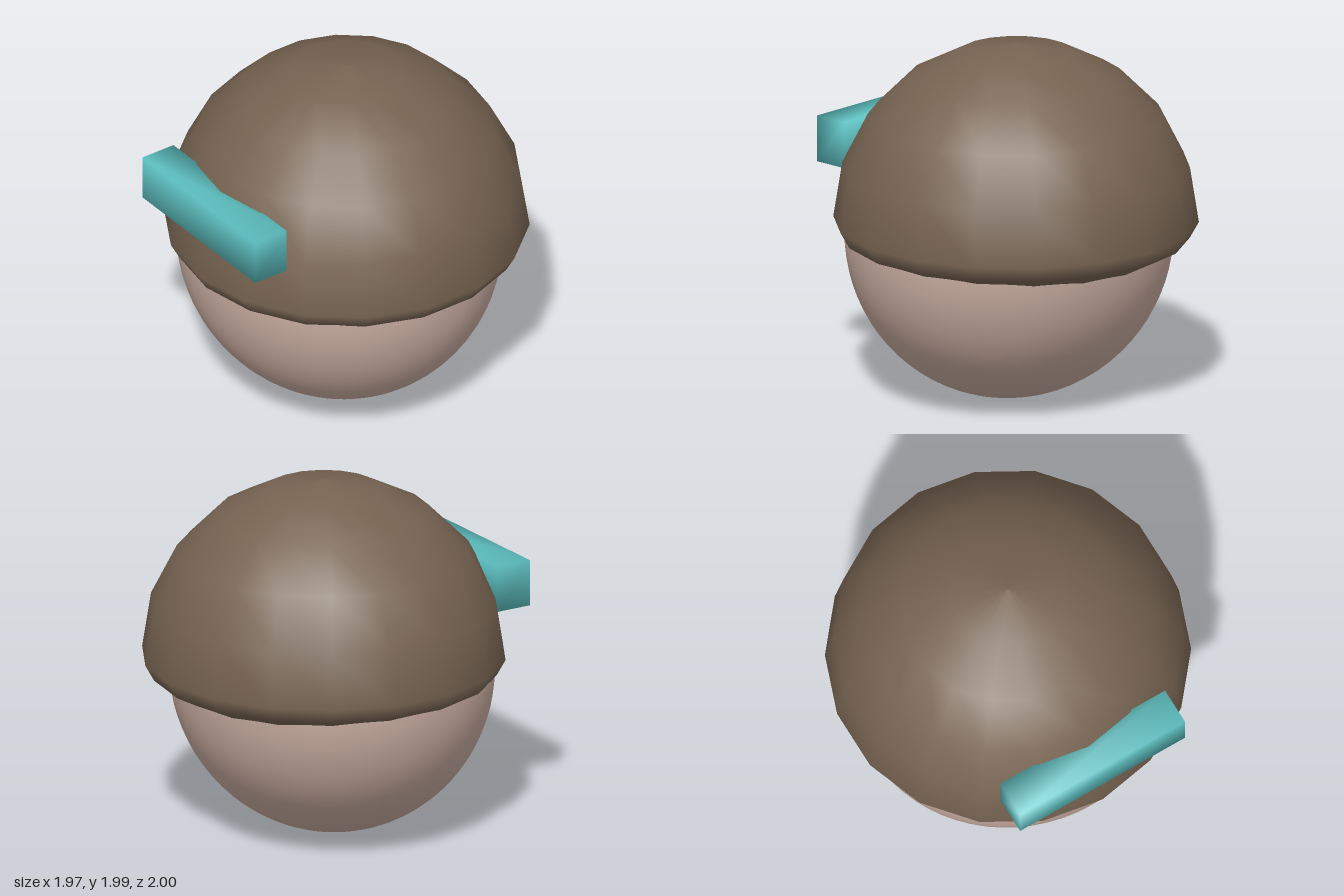
import * as THREE from 'three';
import { mergeVertices } from 'three/addons/utils/BufferGeometryUtils.js';

export function createModel() {
  const model = new THREE.Group();
  const skin = new THREE.MeshStandardMaterial({ color: 0xc8aca0 });
  const brown = new THREE.MeshStandardMaterial({ color: 0x766351, side: THREE.DoubleSide });
  const teal = new THREE.MeshStandardMaterial({ color: 0x5fc2c3 });
  skin.name = 'skin';
  brown.name = 'brown cap';
  teal.name = 'teal badge';

  const add = (name, geometry, material) => {
    const mesh = new THREE.Mesh(geometry, material);
    mesh.name = name;
    model.add(mesh);
    return mesh;
  };

  // Smooth head, slightly shallower than wide and set forward in the cap
  const head = add('head', new THREE.SphereGeometry(1, 64, 40), skin);
  head.scale.set(0.925, 0.925, 0.878);
  head.position.set(0, 0.932, 0.052);

  // Faceted-outline cap: turned-in rim, then a dome of five rings
  const profile = [[0.78, 0.82], [0.95, 0.91]].map(([r, y]) => new THREE.Vector2(r, y));
  for (let i = 0; i <= 5; i++) {
    const a = (i / 5) * Math.PI / 2;
    profile.push(new THREE.Vector2(i === 5 ? 0 : Math.cos(a), 1 + Math.sin(a)));
  }
  add('cap', new THREE.LatheGeometry(profile, 18), brown);

  // Badge bar on the cap front, with softly blended normals
  let bar = new THREE.BoxGeometry(1.05, 0.26, 0.21);
  bar.deleteAttribute('normal');
  bar.deleteAttribute('uv');
  bar = mergeVertices(bar);
  bar.computeVertexNormals();
  add('frontBadge', bar, teal).position.set(0, 1.37, 0.895);

  return model;
}
